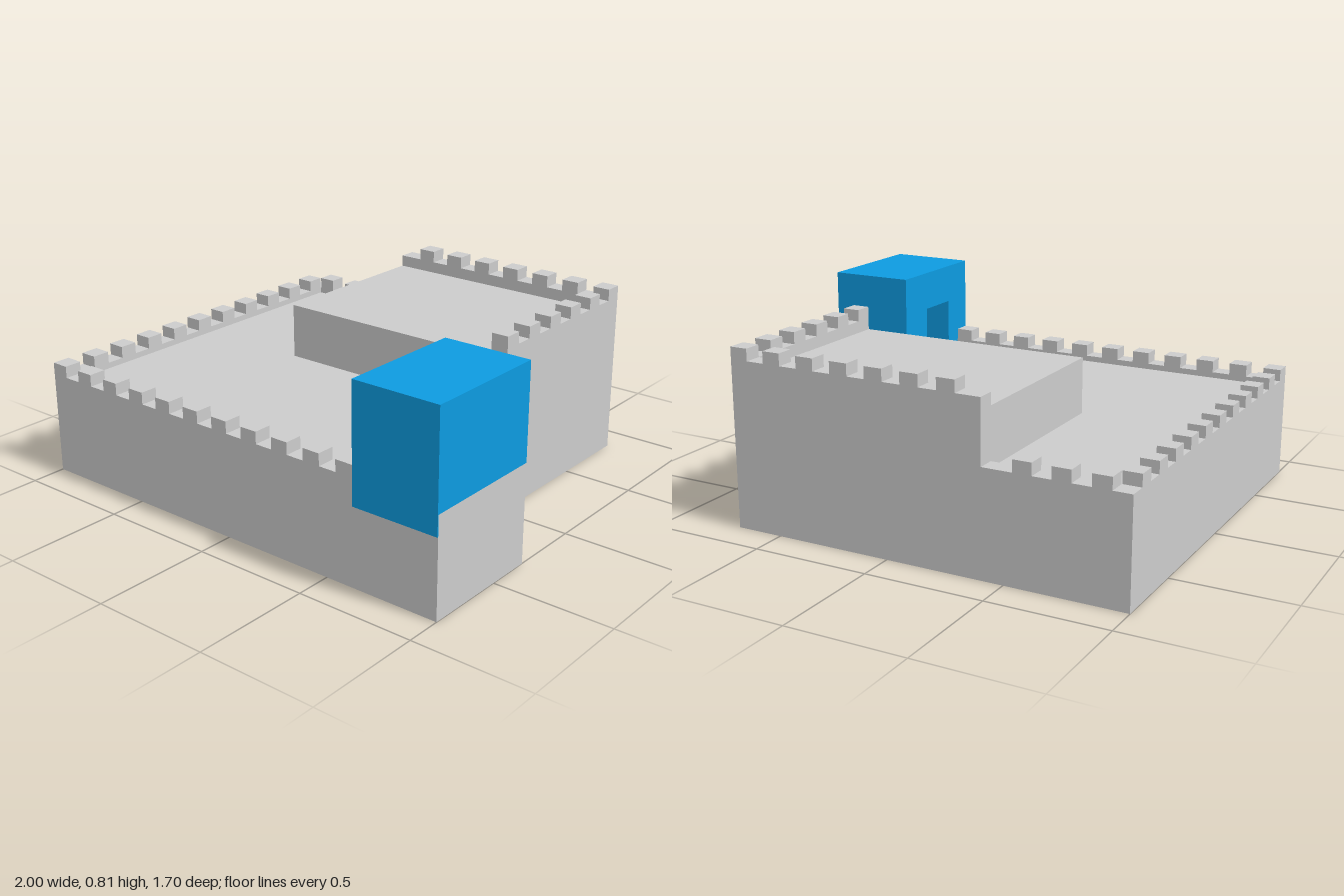
import * as THREE from 'three';

const GREY = new THREE.MeshStandardMaterial({ color: 0xcccccc, flatShading: true });
const BLUE = new THREE.MeshStandardMaterial({ color: 0x0d9be0, flatShading: true });

// Box given by its minimum and maximum corners
function block(parent, name, [x0, y0, z0], [x1, y1, z1], material = GREY) {
  const mesh = new THREE.Mesh(new THREE.BoxGeometry(x1 - x0, y1 - y0, z1 - z0), material);
  mesh.position.set((x0 + x1) / 2, (y0 + y1) / 2, (z0 + z1) / 2);
  mesh.name = name;
  parent.add(mesh);
}

const L = -1, R = 0.7, B = -0.85, F = 0.85;   // castle footprint
const T = 0.075;                              // wall thickness
const STEP = 1.7 / 22;                        // merlon spacing
const FLOOR = 0.415, LOW = 0.44, TERRACE = 0.65, HIGH = 0.7, RISE = 0.05;

// Parapet along x or z with merlons on every second step from first to last
function battlement(parent, name, axis, side, from, to, base, top, first, last) {
  const wall = new THREE.Group();
  wall.name = name;
  const piece = (label, a, b, y0, y1) => axis === 'x'
    ? block(wall, label, [a, y0, side], [b, y1, side + T])
    : block(wall, label, [side, y0, a], [side + T, y1, b]);
  piece('parapet', from, to, base, top);
  const start = axis === 'x' ? L : B;
  for (let k = first; k <= last; k += 2) {
    piece('merlon', start + k * STEP, start + (k + 1) * STEP, top, top + RISE);
  }
  parent.add(wall);
}

export function createModel() {
  const model = new THREE.Group();
  model.name = 'castle';

  // Main body and raised terrace in the back corner
  block(model, 'castleBody', [L, 0, B], [R, FLOOR, F]);
  block(model, 'terrace', [-0.41, FLOOR, B], [R, TERRACE, 0]);

  // Lower battlements
  battlement(model, 'frontWall', 'x', F - T, L, R, FLOOR, LOW, 0, 20);
  battlement(model, 'outerSideWall', 'z', L, B, F, FLOOR, LOW, 1, 21);
  battlement(model, 'lowerBackWall', 'x', B, L, -0.41, FLOOR, LOW, 1, 6);
  battlement(model, 'lowerGateSideWall', 'z', R - T, 0, 0.31, FLOOR, LOW, 11, 13);

  // Terrace battlements
  battlement(model, 'upperBackWall', 'x', B, -0.41, R, TERRACE, HIGH, 9, 21);
  battlement(model, 'upperGateSideWall', 'z', R - T, B, 0, TERRACE, HIGH, 0, 10);

  // Projecting tower base
  block(model, 'towerBase', [R, 0, 0.31], [1, FLOOR, F]);

  // Blue gatehouse with a doorway opening onto the courtyard
  const gate = new THREE.Group();
  gate.name = 'gatehouse';
  const x0 = 0.625, x1 = 0.93, top = 0.815, door = 0.645;
  block(gate, 'rearPier', [x0, FLOOR, 0.31], [x1, top, 0.49], BLUE);
  block(gate, 'frontPier', [x0, FLOOR, 0.69], [x1, top, F], BLUE);
  block(gate, 'lintel', [x0, door, 0.49], [x1, top, 0.69], BLUE);
  block(gate, 'outerWall', [x1, FLOOR, 0.31], [1, top, F], BLUE);
  block(gate, 'frontPanel', [x0, 0.33, F], [1, top, F + 0.004], BLUE);
  model.add(gate);

  return model;
}
